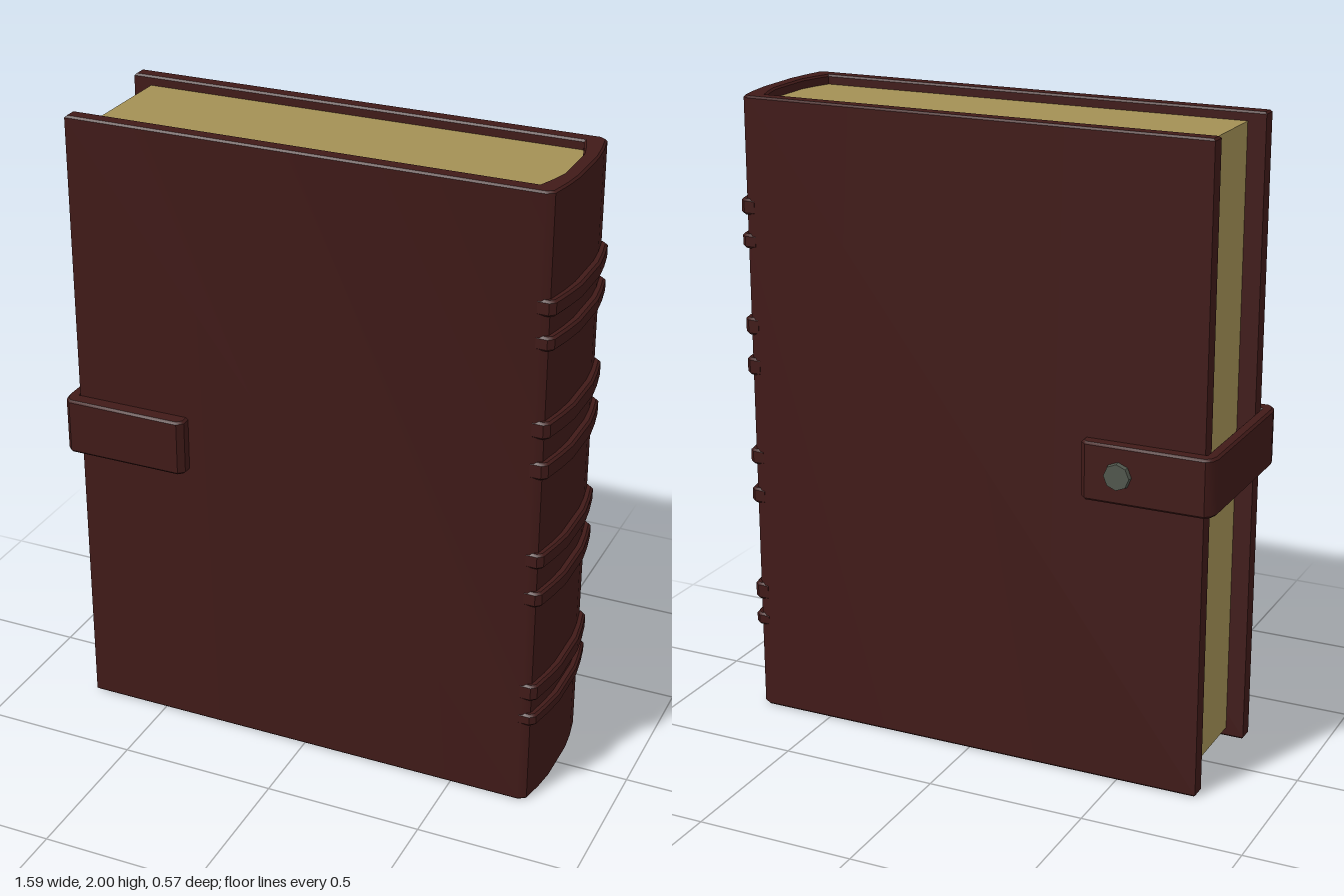
import * as THREE from 'three';
import { toCreasedNormals } from 'three/addons/utils/BufferGeometryUtils.js';

const leather = new THREE.MeshStandardMaterial({ color: 0x401a18 });
const paper = new THREE.MeshStandardMaterial({ color: 0xa39055 });
const metal = new THREE.MeshStandardMaterial({ color: 0x50564c });

// Extrudes an [x, z] outline upward from y0 to y1, with a small bevel kept inside it
function slab(name, outline, y0, y1, material, bevel = 0) {
  const shape = new THREE.Shape(outline.map(([x, z]) => new THREE.Vector2(x, -z)));
  const geometry = new THREE.ExtrudeGeometry(shape, {
    depth: y1 - y0 - 2 * bevel,
    bevelEnabled: bevel > 0,
    bevelThickness: bevel,
    bevelSize: bevel,
    bevelOffset: -bevel,
    bevelSegments: 1,
  });
  geometry.rotateX(-Math.PI / 2).translate(0, y0 + bevel, 0);
  const mesh = new THREE.Mesh(toCreasedNormals(geometry, 0.6), material);
  mesh.name = name;
  return mesh;
}

// Completes a half outline (z > 0) with its mirror image
const mirrorZ = (half) => [...half, ...half.map(([x, z]) => [x, -z]).reverse()];

export function createModel() {
  const book = new THREE.Group();
  book.name = 'book';

  // Boards and rounded spine in one wrap-around cover
  const outer = mirrorZ([[-0.757, 0.237], [0.725, 0.237], [0.748, 0.222], [0.762, 0.15], [0.77, 0.08]]);
  const inner = mirrorZ([[-0.757, 0.187], [0.69, 0.187], [0.708, 0.135], [0.722, 0.08]]);
  book.add(slab('cover', [...outer, ...inner.reverse()], 0, 2, leather, 0.006));

  // Page block, set in from the head, tail and fore edge
  const pages = mirrorZ([[-0.7, 0.188], [0.692, 0.188], [0.71, 0.135], [0.724, 0.08]]);
  book.add(slab('pages', pages, 0.03, 1.97, paper));

  // Raised bands in four pairs across the spine
  const band = mirrorZ([[0.715, 0.238], [0.75, 0.239], [0.767, 0.224], [0.782, 0.15], [0.792, 0.08]]);
  const bandSpans = [
    [0.28, 0.32], [0.37, 0.425], [0.7, 0.75], [0.83, 0.88],
    [1.125, 1.18], [1.255, 1.31], [1.53, 1.575], [1.635, 1.685],
  ];
  for (const [y0, y1] of bandSpans) {
    book.add(slab('spineBand', band, y0, y1, leather, 0.007));
  }

  // Clasp strap folded around the fore edge
  const strap = [
    [-0.4, 0.283], [-0.772, 0.283], [-0.79, 0.265], [-0.797, 0.235],
    [-0.797, -0.235], [-0.79, -0.26], [-0.772, -0.277], [-0.4, -0.277], [-0.382, -0.259],
    [-0.382, -0.23], [-0.757, -0.23], [-0.757, 0.23], [-0.382, 0.23], [-0.382, 0.265],
  ];
  book.add(slab('strap', strap, 0.91, 1.09, leather, 0.007));

  // Clasp stud on the back
  const studGeometry = new THREE.CylinderGeometry(0.04, 0.046, 0.03, 8);
  studGeometry.rotateX(-Math.PI / 2);
  const stud = new THREE.Mesh(toCreasedNormals(studGeometry, 0.6), metal);
  stud.name = 'claspStud';
  stud.position.set(-0.505, 1, -0.276);
  book.add(stud);

  return book;
}
